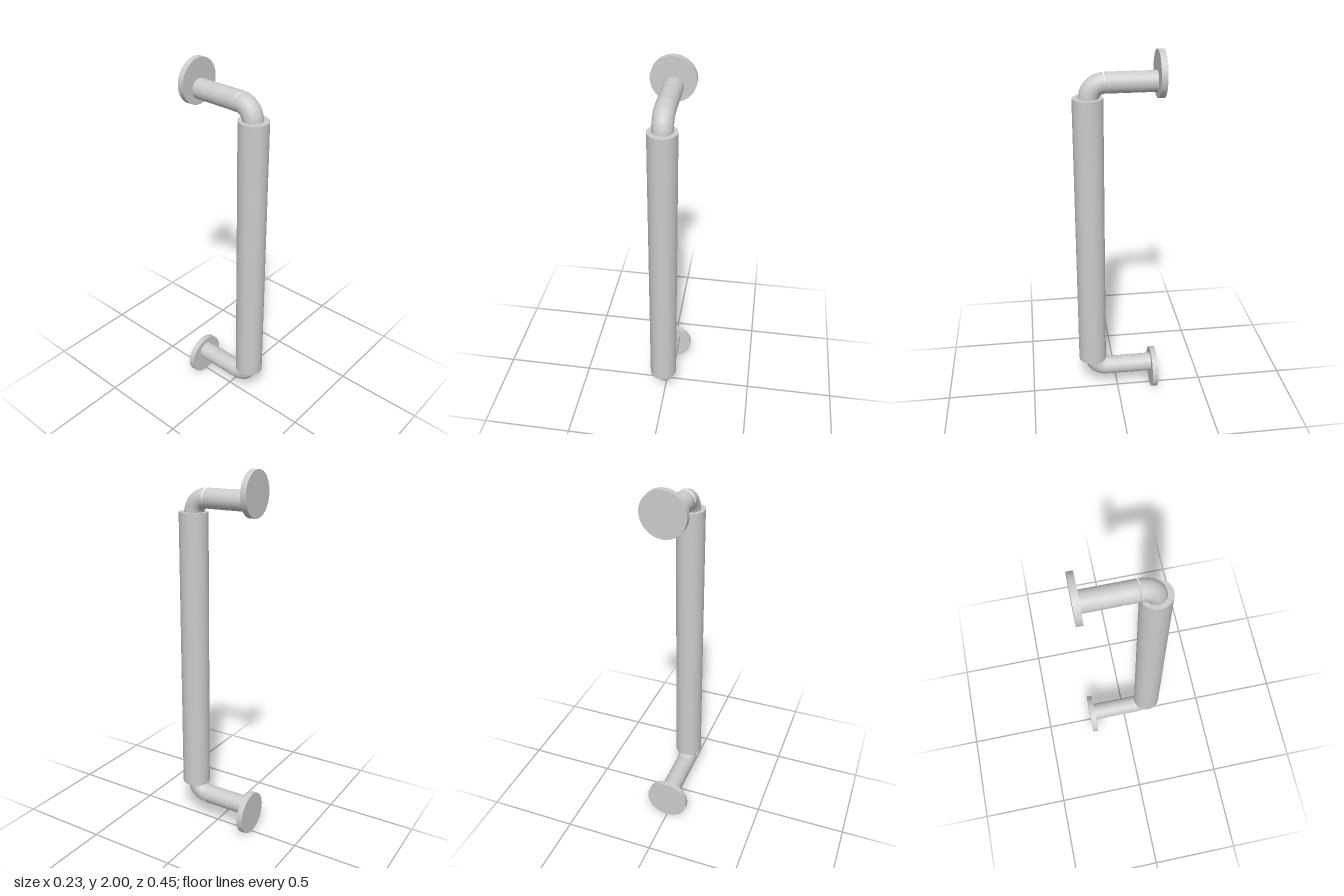
import * as THREE from 'three';

const material = new THREE.MeshStandardMaterial({ color: 0xcccccc });
const TUBE_R = 0.052;   // bar radius
const BEND_Z = 0.065;   // where the straight arm meets the bend
const BEND_R = 0.078;   // centre-line radius of the bend
const PLATE_BACK = -0.227;
const PLATE_FRONT = -0.195;

function addMesh(parent, name, geometry, x = 0, y = 0, z = 0) {
  const mesh = new THREE.Mesh(geometry, material);
  mesh.name = name;
  mesh.position.set(x, y, z);
  parent.add(mesh);
  return mesh;
}

// Straight arm along z with three shallow grooves
function armGeometry() {
  const points = [new THREE.Vector2(TUBE_R, PLATE_FRONT - 0.005)];
  for (const z of [-0.107, -0.015, BEND_Z]) {
    points.push(new THREE.Vector2(TUBE_R, z - 0.005));
    points.push(new THREE.Vector2(TUBE_R - 0.004, z));
    if (z < BEND_Z) points.push(new THREE.Vector2(TUBE_R, z + 0.005));
  }
  return new THREE.LatheGeometry(points, 32).rotateX(Math.PI / 2);
}

// Quarter bend from the arm into the grip, continued a little way inside it
function bendGeometry(side) {
  const path = new THREE.CurvePath();
  const corner = [];
  for (let i = 0; i <= 6; i++) {
    const a = (i / 6) * Math.PI / 2;
    corner.push(new THREE.Vector3(
      0,
      -side * BEND_R * (1 - Math.cos(a)),
      BEND_Z + BEND_R * Math.sin(a),
    ));
  }
  corner.push(new THREE.Vector3(0, -side * (BEND_R + 0.04), BEND_Z + BEND_R));
  for (let i = 1; i < corner.length; i++) path.add(new THREE.LineCurve3(corner[i - 1], corner[i]));
  return new THREE.TubeGeometry(path, 16, TUBE_R, 32, false);
}

export function createModel() {
  const model = new THREE.Group();
  model.name = 'pullHandle';

  // Thick sleeve grip
  const grip = addMesh(model, 'grip', new THREE.CylinderGeometry(1, 1, 1.554, 24), 0, 0.998, 0.147);
  grip.scale.set(0.0745, 1, 0.078);

  // Upper and lower mounts, mirrored about mid height
  for (const side of [1, -1]) {
    const mount = new THREE.Group();
    mount.name = side > 0 ? 'upperMount' : 'lowerMount';
    mount.position.y = 1 + side * 0.847;
    model.add(mount);

    addMesh(mount, 'arm', armGeometry());
    addMesh(mount, 'bend', bendGeometry(side));

    // Round wall plate, set slightly outward of the arm axis
    const plate = new THREE.CylinderGeometry(0.117, 0.117, PLATE_FRONT - PLATE_BACK, 48);
    plate.rotateX(Math.PI / 2);
    addMesh(mount, 'wallPlate', plate, 0, side * 0.036, (PLATE_BACK + PLATE_FRONT) / 2);
  }
  return model;
}
